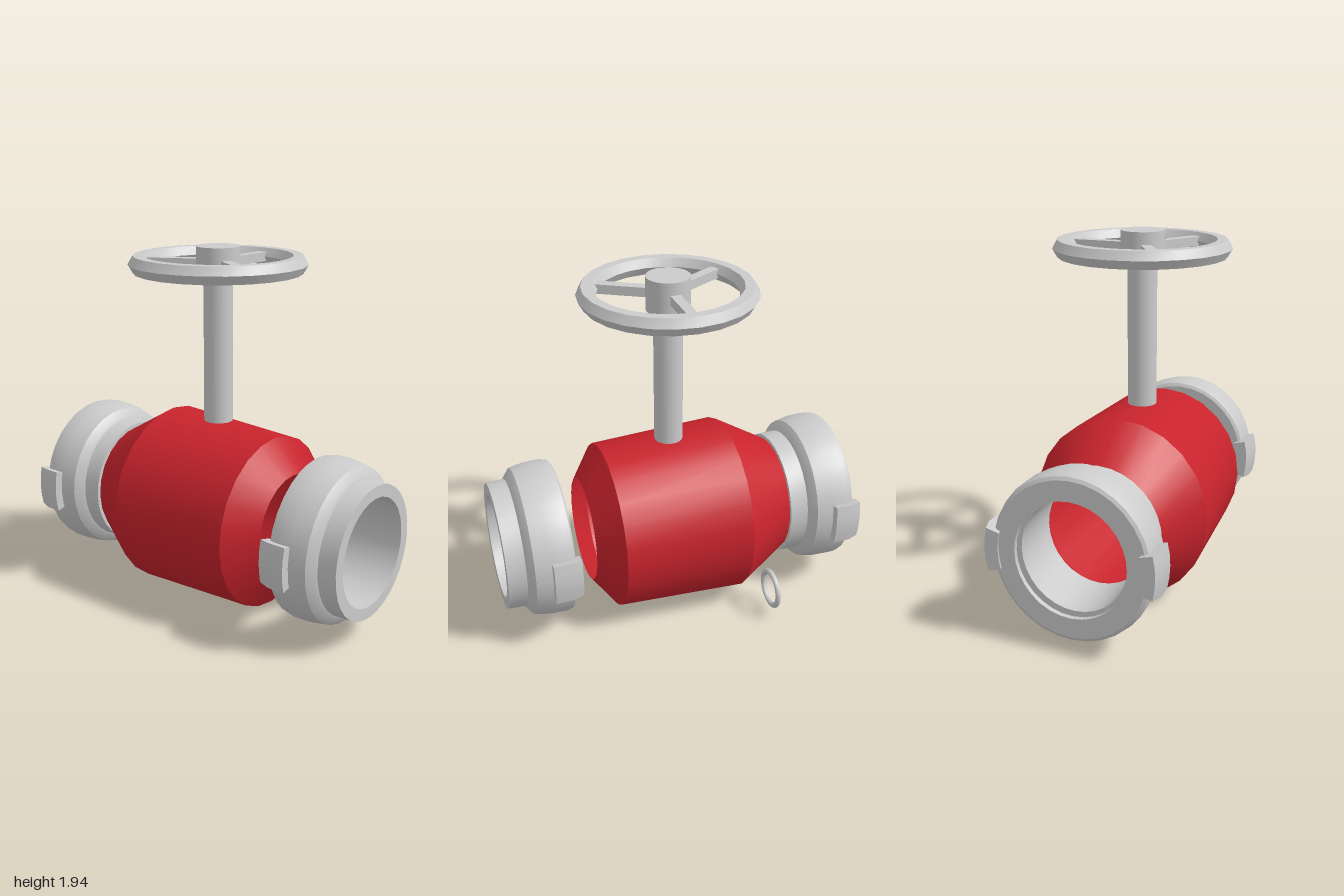
import * as THREE from 'three';
import { mergeGeometries, toCreasedNormals } from 'three/addons/utils/BufferGeometryUtils.js';

const grey = new THREE.MeshStandardMaterial({ color: 0xcccccc });
const red = new THREE.MeshStandardMaterial({ color: 0xc8232c, side: THREE.DoubleSide });
const CX = -0.045, CY = 0.51; // pipe axis
const SQUASH = 0.957;         // pipe parts are slightly narrower than tall

const vecs = (pairs) => pairs.map(([r, s]) => new THREE.Vector2(r, s));

function add(parent, name, geometry, material = grey) {
  const mesh = new THREE.Mesh(geometry, material);
  mesh.name = name;
  parent.add(mesh);
  return mesh;
}

// Profile of (radius, distance) turned round the pipe axis, running towards -z
function turned(pairs, segments = 24) {
  const g = new THREE.LatheGeometry(vecs(pairs), segments);
  return toCreasedNormals(g.rotateX(-Math.PI / 2), 0.5);
}

// Closed section swept through a short arc, with both ends capped
function arcBlock(pairs, mid, span) {
  const start = mid - span / 2;
  const arc = new THREE.LatheGeometry(vecs([...pairs, pairs[0]]), 4, start, span);
  const cap = new THREE.ShapeGeometry(new THREE.Shape(vecs(pairs)));
  const capA = cap.clone().rotateY(start - Math.PI / 2);
  const capB = cap.clone().rotateY(start + span - Math.PI / 2);
  const index = capB.index.array;
  for (let i = 0; i < index.length; i += 3) [index[i], index[i + 1]] = [index[i + 1], index[i]];
  return toCreasedNormals(mergeGeometries([arc, capA, capB]).rotateX(-Math.PI / 2), 0.5);
}

// Hose coupling: short pipe, bell-shaped collar and two hooked lugs
function coupling(name, z) {
  const g = new THREE.Group();
  g.name = name;
  g.position.set(CX, CY, z);
  g.scale.x = SQUASH;
  add(g, 'collar', turned([
    [0.29, 0], [0.355, 0], [0.36, 0.1], [0.375, 0.105], [0.415, 0.137], [0.432, 0.22],
    [0.435, 0.31], [0.427, 0.345], [0.41, 0.355], [0.305, 0.355], [0.305, 0.33],
    [0.325, 0.33], [0.325, 0.305], [0.29, 0.305], [0.29, 0],
  ], 32));
  const hook = [[0.41, 0.225], [0.48, 0.225], [0.48, 0.32], [0.46, 0.38],
    [0.385, 0.38], [0.395, 0.353], [0.42, 0.34]];
  for (const side of [1, -1]) {
    add(g, side > 0 ? 'leftLug' : 'rightLug', arcBlock(hook, side * Math.PI / 2, 0.5));
  }
  return g;
}

// Handwheel: hexagonal rim, hub and three spokes
function handwheel() {
  const g = new THREE.Group();
  g.name = 'handwheel';
  g.position.set(CX, 1.857, 0);
  const rim = new THREE.TorusGeometry(0.417, 0.052, 6, 24).rotateX(Math.PI / 2);
  add(g, 'rim', toCreasedNormals(rim, 0.5));
  add(g, 'hub', new THREE.CylinderGeometry(0.116, 0.116, 0.18, 24));
  for (let i = 0; i < 3; i++) {
    const spoke = new THREE.BoxGeometry(0.3, 0.05, 0.055).translate(0.24, 0, 0);
    add(g, 'spoke', spoke.rotateY(i * Math.PI * 2 / 3));
  }
  return g;
}

export function createModel() {
  const model = new THREE.Group();
  model.name = 'shutOffValve';

  // Open red valve body, widest towards the back
  const body = add(model, 'body', turned([
    [0.295, -0.505], [0.472, -0.38], [0.505, 0.33], [0.335, 0.62],
  ]), red);
  body.position.set(CX, CY, 0);
  body.scale.x = SQUASH;

  model.add(coupling('frontCoupling', 1.0), coupling('backCoupling', -0.62));

  // Stem and handwheel
  const stem = add(model, 'stem', new THREE.CylinderGeometry(0.078, 0.078, 0.77, 20));
  stem.position.set(CX, 1.395, 0);
  model.add(handwheel());

  // Small loop at the lower side
  const ring = add(model, 'sideRing', new THREE.TorusGeometry(0.1, 0.016, 8, 20));
  ring.position.set(0.41, 0.172, -0.46);

  return model;
}
